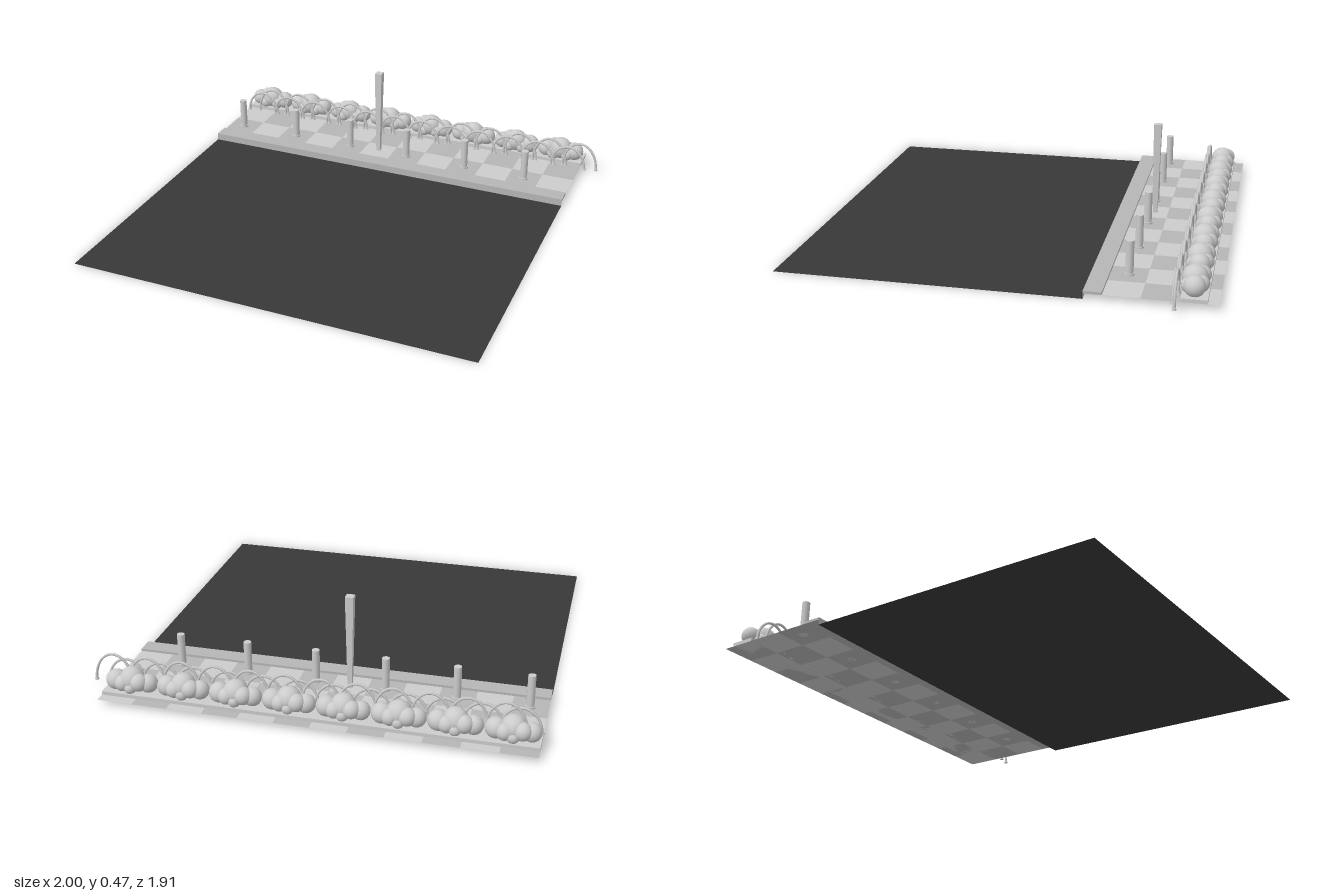
import * as THREE from 'three';

const mat = (color, extra = {}) => new THREE.MeshStandardMaterial({ color, ...extra });
const grey = mat(0xcccccc);
const sheetLight = mat(0xcccccc, { side: THREE.DoubleSide });
const sheetDark = mat(0xb5b5b5, { side: THREE.DoubleSide });
const asphalt = mat(0x383838, { side: THREE.DoubleSide });

const X0 = -1, X1 = 0.906, LENGTH = X1 - X0, MID = (X0 + X1) / 2;
const KERB_Z = -0.402, PATH_Y = 0.024;
const TILE = LENGTH / 12;

function add(parent, name, geometry, material, x = 0, y = 0, z = 0) {
  const mesh = new THREE.Mesh(geometry, material);
  mesh.name = name;
  mesh.position.set(x, y, z);
  parent.add(mesh);
  return mesh;
}

function subGroup(parent, name) {
  const group = new THREE.Group();
  group.name = name;
  parent.add(group);
  return group;
}

// A row of overlapping wire hoops with small feet
function hoopRow(parent, name, firstX, z, height) {
  const row = subGroup(parent, name);
  const half = 0.088, rise = height - PATH_Y - 0.006;
  const points = [];
  for (let i = 0; i <= 12; i++) {
    const a = Math.PI * i / 12;
    points.push(new THREE.Vector3(-half * Math.cos(a), rise * Math.sin(a), 0));
  }
  const wire = new THREE.TubeGeometry(new THREE.CatmullRomCurve3(points), 28, 0.006, 6);
  const foot = new THREE.CylinderGeometry(0.007, 0.01, 0.012, 8);
  for (let i = 0; i < 12; i++) {
    const x = firstX + i * TILE;
    add(row, 'hoop', wire, grey, x, PATH_Y, z);
    for (const s of [-1, 1]) add(row, 'hoopFoot', foot, grey, x + s * half, PATH_Y + 0.006, z);
  }
}

export function createModel() {
  const model = new THREE.Group();
  model.name = 'streetSection';

  // Road surface
  const roadDepth = 0.953 - KERB_Z;
  add(model, 'road', new THREE.PlaneGeometry(LENGTH, roadDepth).rotateX(-Math.PI / 2),
    asphalt, MID, 0, KERB_Z + roadDepth / 2);

  // Kerb riser and kerb stone
  add(model, 'kerbRiser', new THREE.PlaneGeometry(LENGTH, PATH_Y), sheetDark, MID, PATH_Y / 2, KERB_Z);
  add(model, 'kerbStone', new THREE.BoxGeometry(LENGTH, 0.011, 0.079), mat(0xb5b5b5),
    MID, PATH_Y + 0.0055, KERB_Z - 0.0395);

  // Chequered pavement
  const pavement = subGroup(model, 'pavement');
  const tile = new THREE.PlaneGeometry(TILE, TILE).rotateX(-Math.PI / 2);
  for (let row = 0; row < 3; row++) {
    for (let col = 0; col < 12; col++) {
      add(pavement, 'pavingTile', tile, (row + col) % 2 ? sheetLight : sheetDark,
        X0 + (col + 0.5) * TILE, PATH_Y, -0.481 - (row + 0.5) * TILE);
    }
  }

  // Bollards
  const bollards = subGroup(model, 'bollards');
  const shaft = new THREE.CylinderGeometry(0.0175, 0.0175, 0.156, 16);
  const flange = new THREE.CylinderGeometry(0.022, 0.022, 0.008, 16);
  for (let i = 0; i < 6; i++) {
    const x = -0.92 + i * 2 * TILE;
    add(bollards, 'bollard', shaft, grey, x, PATH_Y + 0.078, -0.562);
    add(bollards, 'bollardFlange', flange, grey, x, PATH_Y + 0.004, -0.562);
  }

  // Tall square post, wider at the top
  const post = new THREE.CylinderGeometry(0.0185 * Math.SQRT2, 0.01 * Math.SQRT2, 0.443, 4);
  add(model, 'tallPost', post.rotateY(Math.PI / 4),
    mat(0xcccccc, { flatShading: true }), -0.128, PATH_Y + 0.2215, -0.578);

  // Planting bed with repeated bushes: x, y, z, radius of each clump of leaves
  add(model, 'plantingBed', new THREE.BoxGeometry(LENGTH, 0.016, 0.11), grey, MID, PATH_Y + 0.008, -0.855);
  const hedge = subGroup(model, 'hedge');
  const clumps = [
    [0.042, 0.075, -0.85, 0.042], [0.078, 0.085, -0.872, 0.04],
    [0.118, 0.088, -0.848, 0.055], [0.152, 0.075, -0.872, 0.038],
    [0.19, 0.078, -0.852, 0.046], [0.085, 0.062, -0.826, 0.032],
    [0.155, 0.066, -0.824, 0.032], [0.115, 0.06, -0.882, 0.028],
  ];
  const ball = new THREE.SphereGeometry(1, 16, 12);
  for (let i = 0; i < 8; i++) {
    const bush = subGroup(hedge, 'bush');
    bush.position.x = X0 + i * LENGTH / 8;
    for (const [x, y, z, r] of clumps) add(bush, 'leafClump', ball, grey, x, y, z).scale.setScalar(r);
  }

  // Two staggered rows of wire hoops in front of the hedge
  hoopRow(model, 'lowHoopFence', -0.905, -0.772, 0.142);
  hoopRow(model, 'highHoopFence', -0.846, -0.784, 0.165);

  return model;
}
